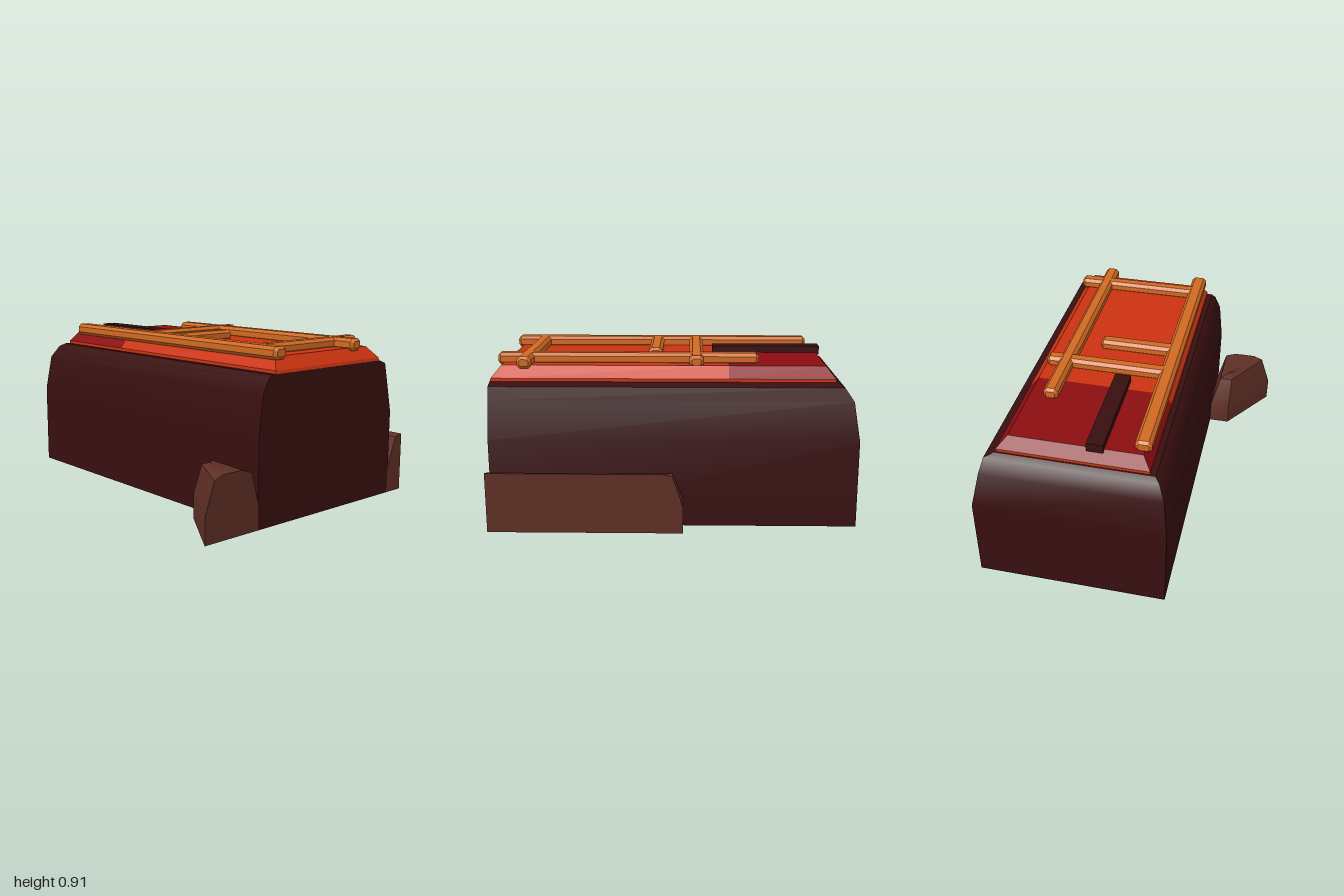
import * as THREE from 'three';
import { toCreasedNormals } from 'three/addons/utils/BufferGeometryUtils.js';

const paint = (name, color) => {
  const m = new THREE.MeshStandardMaterial({ color });
  m.name = name;
  return m;
};

// Rectangular ring, counterclockwise seen from above
const rect = (y, x0, x1, z0, z1) => ({ y, p: [[x0, z1], [x1, z1], [x1, z0], [x0, z0]] });

// Closed solid through stacked four-cornered rings, bottom to top
function loft(rings, crease = 0.5) {
  const pos = [], index = [];
  rings.forEach(r => r.p.forEach(([x, z]) => pos.push(x, r.y, z)));
  for (let r = 0; r < rings.length - 1; r++) {
    for (let i = 0; i < 4; i++) {
      const a = r * 4 + i, b = r * 4 + (i + 1) % 4;
      index.push(a, b, b + 4, a, b + 4, a + 4);
    }
  }
  const t = (rings.length - 1) * 4;
  index.push(0, 2, 1, 0, 3, 2, t, t + 1, t + 2, t, t + 2, t + 3);
  const g = new THREE.BufferGeometry();
  g.setAttribute('position', new THREE.Float32BufferAttribute(pos, 3));
  g.setIndex(index);
  return toCreasedNormals(g, crease);
}

// Beam along z with every edge chamfered
function beam(width, height, length, c = 0.015) {
  const w = width / 2 - c, h = height / 2 - c, k = c * 0.6;
  const s = new THREE.Shape([
    [-w + k, -h], [w - k, -h], [w, -h + k], [w, h - k],
    [w - k, h], [-w + k, h], [-w, h - k], [-w, -h + k],
  ].map(([x, y]) => new THREE.Vector2(x, y)));
  const g = new THREE.ExtrudeGeometry(s, {
    depth: length - 2 * c, bevelEnabled: true, bevelSegments: 1, bevelSize: c, bevelThickness: c,
  });
  return g.translate(0, 0, -length / 2 + c);
}

export function createModel() {
  const model = new THREE.Group();
  const darkRock = paint('darkRock', 0x380e0f);
  const brownRock = paint('brownRock', 0x5f2f25);
  const lava = paint('lava', 0xcc3311);
  const crimson = paint('crimson', 0x8c0d10);
  const orange = paint('orange', 0xd06a22);

  const add = (name, geometry, material) => {
    const mesh = new THREE.Mesh(geometry, material);
    mesh.name = name;
    model.add(mesh);
    return mesh;
  };

  // Main block, rounded at the sides and back, cut flat at the front
  add('block', loft([
    rect(0, -0.41, 0.645, -1, 1),
    rect(0.48, -0.41, 0.645, -1, 1),
    rect(0.69, -0.385, 0.597, -0.97, 1),
    rect(0.762, -0.35, 0.58, -0.92, 1),
    rect(0.78, -0.325, 0.53, -0.89, 1),
  ]), darkRock);

  // Raised glowing top: base strip, then front and back areas
  add('lavaBase', loft([
    rect(0.775, -0.295, 0.525, -0.88, 1),
    rect(0.797, -0.295, 0.525, -0.88, 0.995),
  ]), lava);
  add('lavaFront', loft([
    rect(0.797, -0.295, 0.525, -0.3, 0.995),
    rect(0.86, -0.25, 0.47, -0.3, 0.945),
  ], 0.3), lava);
  add('lavaBack', loft([
    rect(0.797, -0.295, 0.525, -0.88, -0.3),
    rect(0.86, -0.25, 0.47, -0.83, -0.3),
  ], 0.3), crimson);

  // Long beams: x0, x1, z0, z1
  [[-0.285, -0.195, -0.8, 0.98], [0.31, 0.392, -0.47, 0.98]].forEach(([x0, x1, z0, z1], i) => {
    add('longBeam' + (i + 1), beam(x1 - x0, 0.068, z1 - z0), orange)
      .position.set((x0 + x1) / 2, 0.879, (z0 + z1) / 2);
  });

  // Cross beams: right end x and centre z
  [[0.465, -0.125], [0.205, 0.11], [0.512, 0.815]].forEach(([x1, z], i) => {
    const x0 = -0.23;
    const m = add('crossBeam' + (i + 1), beam(0.08, 0.066, x1 - x0), orange);
    m.rotation.y = Math.PI / 2;
    m.position.set((x0 + x1) / 2, 0.879, z);
  });

  // Dark bar lying on the back area
  add('darkBar', new THREE.BoxGeometry(0.09, 0.05, 0.63), darkRock).position.set(0, 0.873, -0.535);

  // Low ledge on the left side
  add('leftLedge', loft([
    rect(0, 0.64, 0.763, -0.055, 1),
    rect(0.15, 0.645, 0.763, -0.055, 1),
    rect(0.318, 0.705, 0.763, 0, 1),
    rect(0.331, 0.757, 0.763, 0.05, 1),
  ], 0.3), brownRock);

  // Wedge-shaped boulder at the right front
  const footprint = [[-0.765, 1], [-0.41, 1], [-0.41, 0.645], [-0.53, 0.645]];
  add('rightBoulder', loft([
    { y: 0, p: footprint },
    { y: 0.14, p: footprint },
    { y: 0.308, p: [[-0.705, 1], [-0.455, 1], [-0.455, 0.71], [-0.53, 0.71]] },
    { y: 0.331, p: [[-0.65, 1], [-0.52, 1], [-0.5, 0.76], [-0.535, 0.78]] },
  ]), brownRock);

  return model;
}
